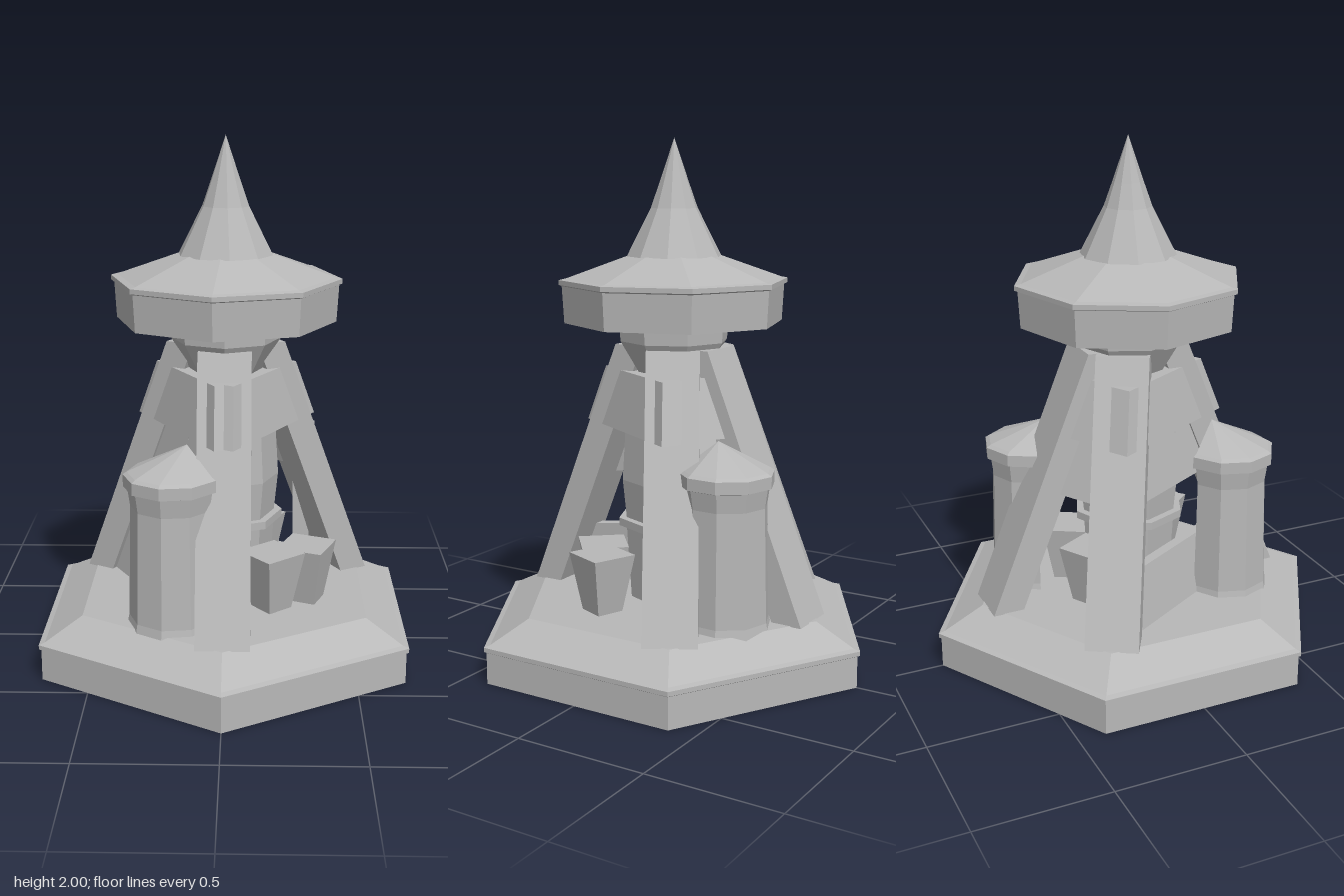
import * as THREE from 'three';

const stone = new THREE.MeshStandardMaterial({ color: 0xb8b8b8 });
stone.name = 'grey stone';
stone.flatShading = true;
const DEG = Math.PI / 180;

// Outer radius of the sloping frame at a given height
const frameRadius = (y) => THREE.MathUtils.mapLinear(y, 0.225, 1.22, 0.605, 0.205);

function add(parent, name, geometry) {
  const mesh = new THREE.Mesh(geometry, stone);
  mesh.name = name;
  parent.add(mesh);
  return mesh;
}

// Faceted solid of revolution; every point is [radius, y]
function turned(points, sides, start = 0, sweep = Math.PI * 2) {
  const profile = points.map(([r, y]) => new THREE.Vector2(r, y));
  const g = new THREE.LatheGeometry(profile, sides, start, sweep).toNonIndexed();
  g.computeVertexNormals();
  return g;
}

// Box whose corners are moved by rule(u, v, w); u and w in -0.5..0.5, v in 0..1
function block(rule) {
  const g = new THREE.BoxGeometry(1, 1, 1).toNonIndexed();
  const p = g.attributes.position;
  for (let i = 0; i < p.count; i++) {
    p.setXYZ(i, ...rule(p.getX(i), p.getY(i) + 0.5, p.getZ(i)));
  }
  g.computeVertexNormals();
  return g;
}

// Sloping slab between two legs, set out from or into the frame by offset
function panel(a, b, y0, y1, thickness, offset) {
  const mid = (a + b) / 2 * DEG;
  return block((u, v, w) => {
    const y = y0 + (y1 - y0) * v;
    const r = frameRadius(y) + offset;
    const t = u + 0.5;
    const x = r * (Math.sin(a * DEG) * (1 - t) + Math.sin(b * DEG) * t);
    const z = r * (Math.cos(a * DEG) * (1 - t) + Math.cos(b * DEG) * t);
    return [x + Math.sin(mid) * w * thickness, y, z + Math.cos(mid) * w * thickness];
  });
}

// Turret shell open towards the wall behind it, with its peak leaning on the wall
function turret(facing) {
  const g = turned([
    [0.175, 0.2], [0.165, 0.25], [0.16, 0.45], [0.155, 0.68], [0.165, 0.75],
    [0.18, 0.755], [0.18, 0.8], [0.165, 0.81], [0, 0.9],
  ], 6, (facing - 115) * DEG, 230 * DEG);
  const p = g.attributes.position;
  for (let i = 0; i < p.count; i++) {
    if (p.getY(i) < 0.85) continue;
    p.setX(i, -0.07 * Math.sin(facing * DEG));
    p.setZ(i, -0.07 * Math.cos(facing * DEG));
  }
  g.computeVertexNormals();
  return g;
}

export function createModel() {
  const model = new THREE.Group();
  model.name = 'tower';

  // Hexagonal base with a thin lip and sloping top
  add(model, 'base', turned([
    [0, 0], [0.79, 0], [0.79, 0.12], [0.8, 0.125], [0.8, 0.142],
    [0.775, 0.148], [0.62, 0.225], [0, 0.23],
  ], 6));

  // Leaning legs
  for (const angle of [0, 120, 180, 240]) {
    const leg = add(model, 'leg', block((u, v, w) => {
      const y = 0.222 + 0.998 * v;
      return [u * 0.2, y, frameRadius(y) - 0.06 + w * 0.12];
    }));
    leg.rotation.y = angle * DEG;
  }

  // Braces and infill panels: wide bays at the front, narrow bays at the back
  for (const [a, b] of [[0, 120], [240, 360]]) {
    add(model, 'frontBrace', panel(a, b, 0.9, 1.12, 0.08, 0.03));
  }
  for (const [a, b] of [[120, 180], [180, 240]]) {
    add(model, 'backBrace', panel(a, b, 0.9, 1.12, 0.08, -0.04));
    add(model, 'backPanel', panel(a, b, 0.68, 0.9, 0.04, -0.06));
  }
  add(model, 'middlePanel', panel(240, 360, 0.68, 0.9, 0.04, -0.01));
  add(model, 'lowPanel', panel(240, 360, 0.21, 0.45, 0.04, -0.03));

  // Central column with a ring, and the neck that carries the roof
  add(model, 'column', turned([
    [0, 0.2], [0.17, 0.2], [0.19, 0.52], [0.22, 0.52], [0.22, 0.55],
    [0.19, 0.55], [0.205, 0.7], [0.19, 0.95], [0, 0.95],
  ], 8));
  add(model, 'neck', turned([
    [0, 0.9], [0.13, 0.9], [0.14, 1.12], [0.21, 1.24], [0.215, 1.32], [0, 1.32],
  ], 8));

  // Flared wedges around the foot of the column
  for (const [angle, reach] of [[40, 0.36], [68, 0.42], [150, 0.32], [210, 0.32]]) {
    const wedge = add(model, 'footWedge', block((u, v, w) => [
      u * (0.1 + 0.08 * v), 0.2 + 0.25 * v, reach - 0.08 + w * (0.1 + 0.08 * v),
    ]));
    wedge.rotation.y = angle * DEG;
  }

  // Two side turrets on opposite corners
  for (const [s, facing] of [[-1, 310], [1, 145]]) {
    add(model, 'turret', turret(facing)).position.set(0.19 * s, 0, -0.34 * s);
  }

  // Eight-sided roof with a rim
  const roof = add(model, 'roof', turned([
    [0, 1.31], [0.42, 1.31], [0.428, 1.45], [0.44, 1.455], [0.44, 1.473],
    [0.415, 1.478], [0.17, 1.565], [0, 1.565],
  ], 8));
  roof.rotation.y = -0.09;

  // Concave spire
  const spire = add(model, 'spire', turned([
    [0.182, 1.56], [0.09, 1.74], [0.058, 1.83], [0, 2],
  ], 10));
  spire.rotation.y = 0.1;

  return model;
}
